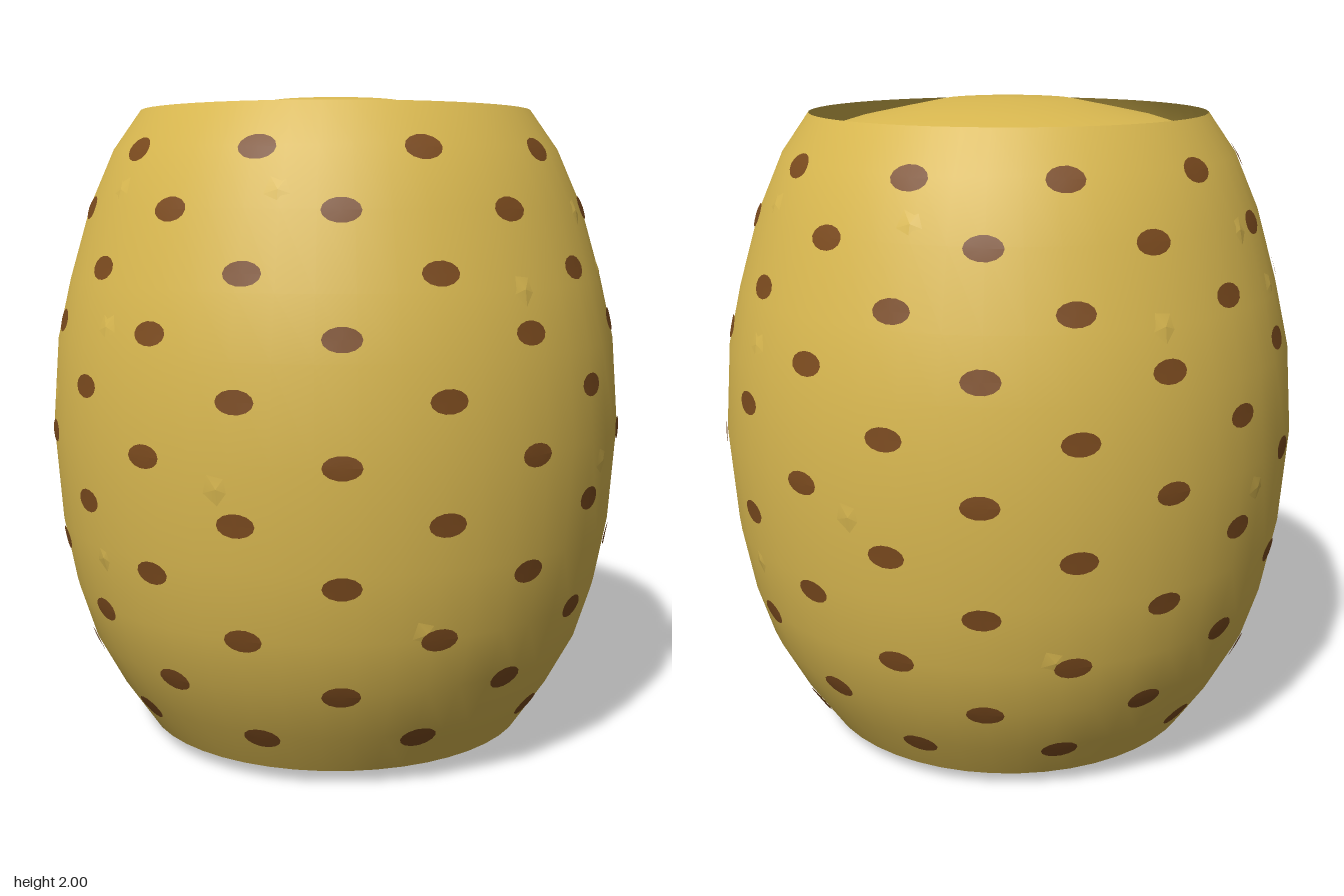
import * as THREE from 'three';
import { mergeGeometries } from 'three/addons/utils/BufferGeometryUtils.js';

// Barrel outline as [radius, height]
const OUTLINE = [
  [0.61, 0.045], [0.70, 0.18], [0.785, 0.34], [0.835, 0.5], [0.872, 0.7], [0.893, 1.0],
  [0.872, 1.27], [0.83, 1.45], [0.765, 1.67], [0.69, 1.84], [0.605, 1.96],
];

function radiusAt(y) {
  for (let i = 1; i < OUTLINE.length; i++) {
    const [r0, y0] = OUTLINE[i - 1], [r1, y1] = OUTLINE[i];
    if (y <= y1) return r0 + (r1 - r0) * (y - y0) / (y1 - y0);
  }
  return OUTLINE[OUTLINE.length - 1][0];
}

// Wraps a small flat patch onto the barrel at the given angle (0 = front) and height
function wrapPatch(geometry, angle, height, lift) {
  const p = geometry.attributes.position;
  for (let i = 0; i < p.count; i++) {
    const y = height + p.getY(i);
    const a = angle + p.getX(i) / radiusAt(height);
    const r = radiusAt(y) + lift + p.getZ(i);
    p.setXYZ(i, Math.sin(a) * r, y, Math.cos(a) * r);
  }
  geometry.computeVertexNormals();
  return geometry;
}

export function createModel() {
  const model = new THREE.Group();
  const skin = new THREE.MeshStandardMaterial({ color: 0xd9b850, side: THREE.DoubleSide });
  const brown = new THREE.MeshStandardMaterial({ color: 0x7a4a1e });
  const add = (name, geometry, material) => {
    const mesh = new THREE.Mesh(geometry, material);
    mesh.name = name;
    model.add(mesh);
    return mesh;
  };

  // Open barrel body
  add('body', new THREE.LatheGeometry(OUTLINE.map(([r, y]) => new THREE.Vector2(r, y)), 48), skin);

  // Shallow domes closing both ends, slightly sunk inside the rims
  const dome = [[0.63, 1.88], [0.55, 1.912], [0.45, 1.942], [0.33, 1.967], [0.2, 1.993], [0, 2.0]]
    .map(([r, y]) => new THREE.Vector2(r, y));
  add('topDome', new THREE.LatheGeometry(dome, 32), skin);
  const bottom = add('bottomDome', new THREE.LatheGeometry(dome, 32), skin);
  bottom.rotation.x = Math.PI;
  bottom.position.y = 2;

  // Staggered rows of oval spots
  const spots = [];
  for (let row = 1; row <= 11; row++) {
    for (let i = 0; i < 10; i++) {
      const a = (i + (row % 2) / 2) * Math.PI / 5;
      const angle = a - 0.04 * Math.cos(a) ** 3;
      const oval = new THREE.CircleGeometry(1, 14).scale(0.055, 0.034, 1);
      spots.push(wrapPatch(oval, angle, row / 6, 0.005));
    }
  }
  add('spots', mergeGeometries(spots), brown);

  // Faint five-sided bumps in the skin, repeated on the opposite side
  const bumps = [];
  const places = [
    [0.38, 1.72], [-0.38, 1.72], [-1.2, 1.48], [-0.72, 1.1], [-0.89, 0.52], [0.89, 0.52],
    [0.22, 0.93], [-0.29, 0.67], [-0.26, 1.34], [1.26, 1.45], [1.75, 1.66], [1.68, 0.93],
  ];
  for (const [angle, y] of places) {
    for (const turn of [0, Math.PI]) {
      const bump = new THREE.ConeGeometry(0.06, 0.006, 5, 1, true).rotateX(Math.PI / 2);
      bumps.push(wrapPatch(bump, angle + turn, y, 0));
    }
  }
  add('skinBumps', mergeGeometries(bumps), skin);

  return model;
}
